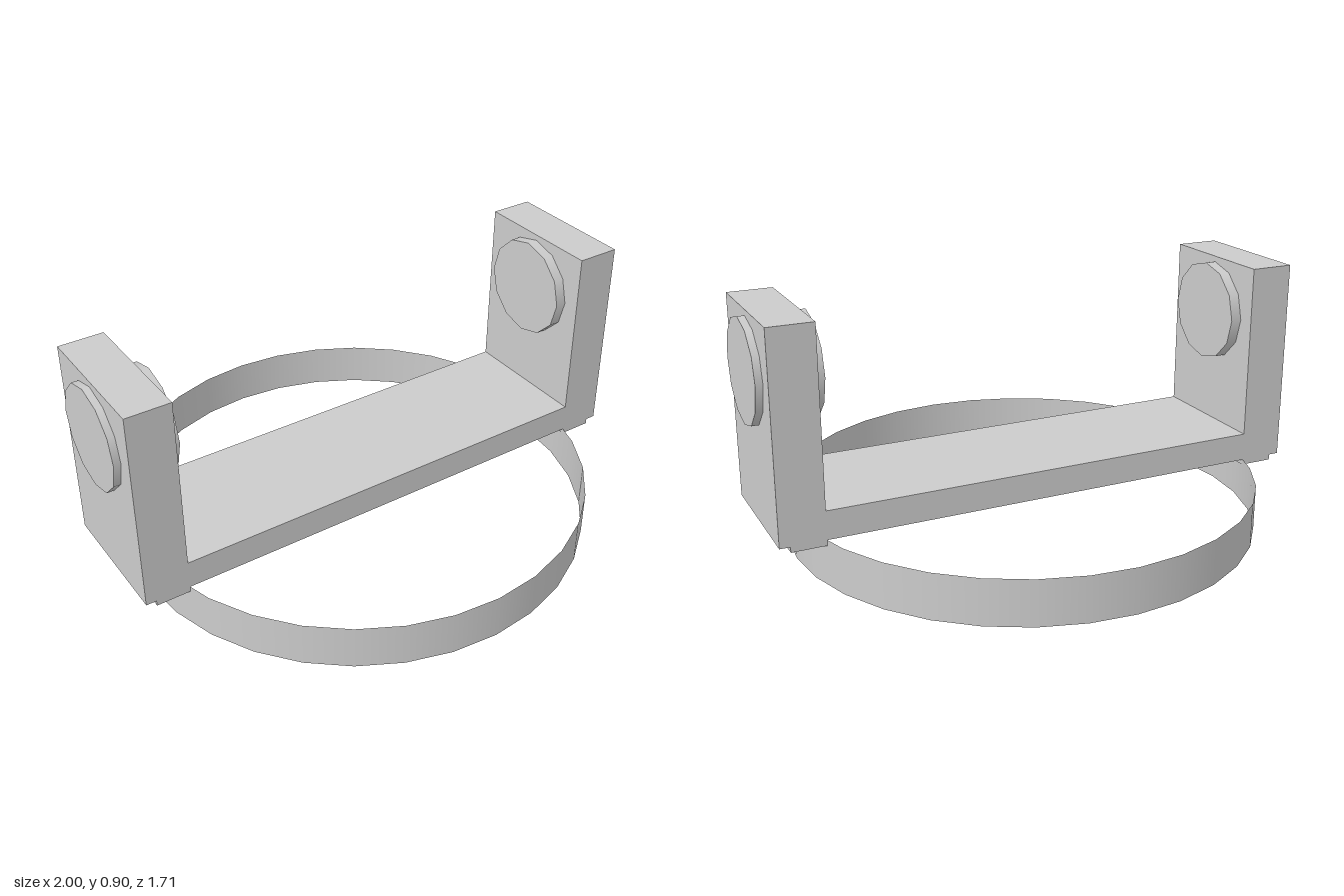
import * as THREE from 'three';

export function createModel() {
  const model = new THREE.Group();
  const grey = new THREE.MeshStandardMaterial({ color: 0xcccccc });
  grey.name = 'light grey';
  grey.side = THREE.DoubleSide;

  const add = (geometry, name, x = 0, y = 0, z = 0) => {
    const mesh = new THREE.Mesh(geometry, grey);
    mesh.name = name;
    mesh.position.set(x, y, z);
    model.add(mesh);
  };

  // U-shaped bracket with a shallow foot under each arm; right half mirrored
  const half = [
    [0.815, 0.165], [0.815, 0.145], [0.938, 0.145], [0.938, 0.165],
    [0.975, 0.165], [0.975, 0.9], [0.815, 0.9], [0.815, 0.268],
  ];
  const mirrored = half.map(([x, y]) => [-x, y]).reverse();
  const profile = new THREE.Shape([...half, ...mirrored].map(([x, y]) => new THREE.Vector2(x, y)));
  const depth = 0.49;
  const bracket = new THREE.ExtrudeGeometry(profile, { depth, bevelEnabled: false });
  bracket.translate(0, 0, -depth / 2);
  add(bracket, 'bracket');

  // Pivot discs on the inner and outer face of each arm
  const disc = (from, to, side, name) => {
    const geometry = new THREE.CylinderGeometry(0.183, 0.183, to - from, 12);
    geometry.rotateZ(Math.PI / 2);
    add(geometry, name, (side * (from + to)) / 2, 0.696, 0);
  };
  for (const [side, label] of [[1, 'left'], [-1, 'right']]) {
    disc(0.775, 0.815, side, label + 'InnerDisc');
    disc(0.975, 1.0, side, label + 'OuterDisc');
  }

  // Thin open base ring
  add(new THREE.CylinderGeometry(0.855, 0.855, 0.165, 32, 1, true), 'baseRing', 0, 0.0825, 0);

  return model;
}
